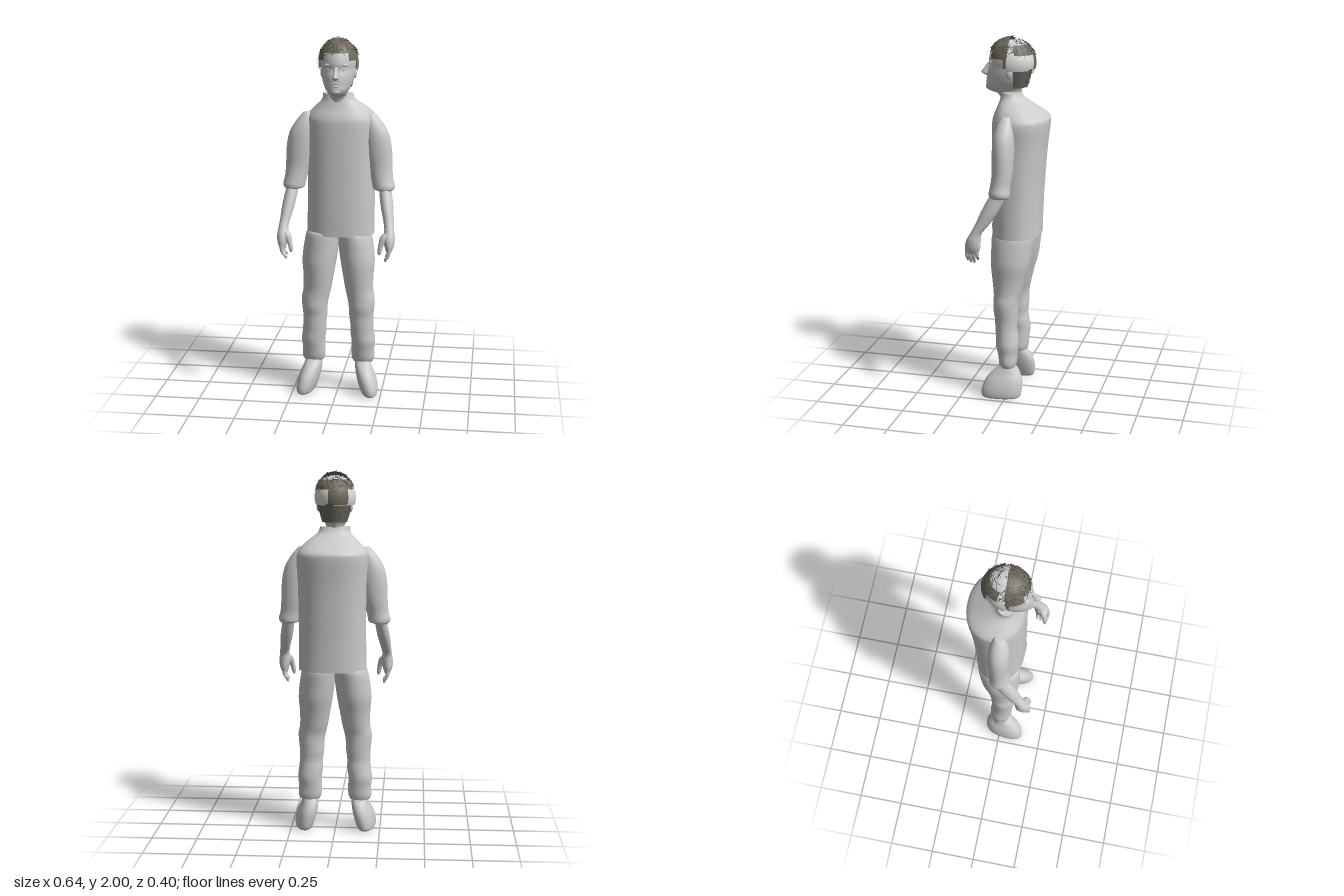
import * as THREE from 'three';
import { mergeGeometries } from 'three/addons/utils/BufferGeometryUtils.js';

const body = new THREE.MeshStandardMaterial({ color: 0xcccccc, name: 'plain grey' });
const pale = new THREE.MeshStandardMaterial({ color: 0xdcdcdc, name: 'pale cap', side: THREE.DoubleSide });
const hairBase = new THREE.MeshStandardMaterial({ color: 0x6f6a5e, name: 'brown hair', side: THREE.DoubleSide });
const hairDark = new THREE.MeshStandardMaterial({ color: 0x4c483d, name: 'dark strands' });

// Catmull-Rom interpolation of neighbouring rings
function blend(r, i, t) {
  const p = k => r[Math.min(r.length - 1, Math.max(0, k))];
  return r[i].map((_, k) => {
    const a = p(i - 1)[k], b = p(i)[k], c = p(i + 1)[k], d = p(i + 2)[k];
    return b + 0.5 * t * (c - a + t * (2 * a - 5 * b + 4 * c - d + t * (3 * (b - c) + d - a)));
  });
}

// Closed skin through ascending rings [y, xMin, xMax, zMin, zMax]; side -1 mirrors in x
function loft(rings, { n = 32, steps = 4, power = 2, side = 1, shift = 0 } = {}) {
  const all = [];
  for (let i = 0; i < rings.length - 1; i++)
    for (let k = 0; k < steps; k++) all.push(blend(rings, i, k / steps));
  all.push(rings[rings.length - 1]);
  const pos = [], idx = [];
  const e = 2 / power, f = v => Math.sign(v) * Math.abs(v) ** e;
  const addRing = ([y, x0, x1, z0, z1]) => {
    for (let j = 0; j < n; j++) {
      const a = (j / n) * Math.PI * 2;
      pos.push(side * (x0 + x1) / 2 + shift + (x1 - x0) / 2 * f(Math.cos(a)), y,
        (z0 + z1) / 2 + (z1 - z0) / 2 * f(Math.sin(a)));
    }
  };
  all.forEach(addRing);
  for (let i = 0; i < all.length - 1; i++)
    for (let j = 0; j < n; j++) {
      const a = i * n + j, b = i * n + (j + 1) % n;
      idx.push(a, a + n, b, b, a + n, b + n);
    }
  // separate end caps keep the rims crisp
  [[all[0], false], [all[all.length - 1], true]].forEach(([r, top]) => {
    const s = pos.length / 3;
    addRing(r);
    pos.push(side * (r[1] + r[2]) / 2 + shift, r[0], (r[3] + r[4]) / 2);
    for (let j = 0; j < n; j++) {
      const k = s + (j + 1) % n;
      idx.push(s + n, top ? k : s + j, top ? s + j : k);
    }
  });
  const g = new THREE.BufferGeometry();
  g.setAttribute('position', new THREE.Float32BufferAttribute(pos, 3));
  g.setIndex(idx);
  g.computeVertexNormals();
  return g;
}

export function createModel() {
  const model = new THREE.Group();
  const add = (name, geo, mat = body) => {
    const m = new THREE.Mesh(geo, mat);
    m.name = name;
    model.add(m);
    return m;
  };
  const ball = (name, x, y, z, rx, ry, rz) => {
    const m = add(name, new THREE.SphereGeometry(1, 20, 14));
    m.position.set(x, y, z);
    m.scale.set(rx, ry, rz);
  };

  // Long loose shirt with a short standing collar
  add('shirt', loft([
    [0.92, -0.172, 0.2, -0.158, 0.106], [1.05, -0.17, 0.2, -0.162, 0.108],
    [1.2, -0.168, 0.2, -0.17, 0.108], [1.4, -0.172, 0.203, -0.185, 0.108],
    [1.53, -0.178, 0.21, -0.2, 0.106], [1.575, -0.17, 0.198, -0.193, 0.1],
    [1.62, -0.13, 0.16, -0.13, 0.082], [1.665, -0.085, 0.1, -0.06, 0.068],
    [1.7, -0.08, 0.085, -0.04, 0.06],
  ], { n: 48, power: 2.25 }));

  for (const side of [1, -1]) {
    const tag = side > 0 ? 'left' : 'right';
    const arm = { side, shift: 0.007 }, leg = { side, shift: 0.003 };

    // Sleeve with a puffed cuff
    add(tag + 'Sleeve', loft([
      [1.17, 0.222, 0.29, -0.03, 0.062], [1.18, 0.19, 0.303, -0.04, 0.07],
      [1.2, 0.184, 0.307, -0.042, 0.072], [1.235, 0.176, 0.298, -0.042, 0.066],
      [1.3, 0.16, 0.292, -0.05, 0.06], [1.4, 0.14, 0.288, -0.055, 0.062],
      [1.48, 0.135, 0.272, -0.053, 0.06], [1.54, 0.135, 0.238, -0.045, 0.048],
      [1.58, 0.142, 0.205, -0.032, 0.03], [1.593, 0.155, 0.192, -0.022, 0.018],
    ], arm));

    // Bare forearm running into the palm
    add(tag + 'Forearm', loft([
      [0.865, 0.275, 0.305, 0.12, 0.19], [0.9, 0.264, 0.318, 0.11, 0.195],
      [0.94, 0.256, 0.321, 0.108, 0.187], [0.98, 0.262, 0.315, 0.102, 0.164],
      [1.03, 0.252, 0.31, 0.062, 0.138], [1.1, 0.234, 0.303, 0.015, 0.108],
      [1.19, 0.22, 0.286, -0.028, 0.062],
    ], arm));

    // Four curled fingers and a thumb
    [0.128, 0.148, 0.167, 0.184].forEach((z, i) => {
      const tip = [0.825, 0.808, 0.81, 0.82][i];
      add(tag + 'Finger' + (i + 1), loft([
        [tip, 0.268, 0.276, z - 0.004, z + 0.004], [tip + 0.01, 0.266, 0.282, z - 0.008, z + 0.008],
        [0.85, 0.279, 0.299, z - 0.01, z + 0.01], [0.89, 0.28, 0.305, z - 0.011, z + 0.011],
      ], { ...arm, n: 12 }));
    });
    add(tag + 'Thumb', loft([
      [0.85, 0.236, 0.244, 0.172, 0.182], [0.865, 0.23, 0.252, 0.167, 0.189],
      [0.905, 0.234, 0.264, 0.158, 0.187], [0.945, 0.242, 0.29, 0.145, 0.182],
      [0.965, 0.258, 0.294, 0.14, 0.17],
    ], { ...arm, n: 14 }));

    // Softly wrinkled trouser leg
    add(tag + 'TrouserLeg', loft([
      [0.175, 0.085, 0.195, -0.045, 0.035], [0.2, 0.075, 0.205, -0.052, 0.045],
      [0.25, 0.074, 0.203, -0.056, 0.054], [0.3, 0.075, 0.208, -0.062, 0.064],
      [0.35, 0.068, 0.202, -0.058, 0.066], [0.4, 0.068, 0.198, -0.052, 0.07],
      [0.45, 0.062, 0.198, -0.055, 0.072], [0.5, 0.06, 0.203, -0.057, 0.08],
      [0.55, 0.052, 0.205, -0.06, 0.08], [0.6, 0.04, 0.196, -0.072, 0.082],
      [0.68, 0.026, 0.196, -0.092, 0.092], [0.76, 0.012, 0.202, -0.115, 0.1],
      [0.84, 0.001, 0.195, -0.128, 0.1], [0.918, -0.005, 0.18, -0.138, 0.098],
      [0.94, -0.005, 0.16, -0.12, 0.085],
    ], leg));

    // Rounded shoe, toes turned slightly outward
    const shoe = loft([
      [0, 0.14, 0.218, -0.066, 0.125], [0.012, 0.13, 0.226, -0.08, 0.136],
      [0.05, 0.116, 0.226, -0.086, 0.136], [0.1, 0.104, 0.214, -0.084, 0.118],
      [0.145, 0.098, 0.195, -0.066, 0.082], [0.18, 0.098, 0.186, -0.042, 0.04],
      [0.21, 0.1, 0.185, -0.036, 0.028],
    ], { ...leg, power: 2.2 });
    const p = shoe.attributes.position;
    for (let i = 0; i < p.count; i++) p.setX(i, p.getX(i) + side * 0.12 * (p.getZ(i) - 0.03));
    shoe.computeVertexNormals();
    add(tag + 'Shoe', shoe);

    // Ear, eye and brow
    ball(tag + 'Ear', 0.005 + side * 0.086, 1.81, 0.006, 0.013, 0.03, 0.018);
    ball(tag + 'Eye', 0.005 + side * 0.034, 1.838, 0.109, 0.018, 0.008, 0.016);
    ball(tag + 'Brow', 0.005 + side * 0.034, 1.862, 0.109, 0.03, 0.009, 0.018);
  }

  // Neck and head
  add('head', loft([
    [1.62, -0.045, 0.055, -0.03, 0.065], [1.685, -0.045, 0.055, -0.035, 0.08],
    [1.705, -0.045, 0.055, -0.042, 0.135], [1.73, -0.06, 0.07, -0.055, 0.15],
    [1.76, -0.074, 0.084, -0.08, 0.147], [1.8, -0.083, 0.093, -0.095, 0.144],
    [1.838, -0.086, 0.096, -0.1, 0.132], [1.87, -0.089, 0.099, -0.1, 0.134],
    [1.92, -0.085, 0.095, -0.095, 0.12], [1.955, -0.066, 0.076, -0.075, 0.088],
    [1.972, -0.035, 0.045, -0.035, 0.05],
  ], { n: 40 }));
  add('nose', loft([
    [1.785, -0.006, 0.016, 0.13, 0.156], [1.792, -0.012, 0.022, 0.125, 0.17],
    [1.802, -0.012, 0.022, 0.125, 0.179], [1.825, -0.006, 0.016, 0.12, 0.162],
    [1.855, -0.004, 0.014, 0.115, 0.14],
  ], { n: 16 }));
  ball('upperLip', 0.005, 1.766, 0.135, 0.026, 0.006, 0.017);
  ball('lowerLip', 0.005, 1.753, 0.135, 0.022, 0.007, 0.018);
  ball('chin', 0.005, 1.724, 0.128, 0.028, 0.02, 0.026);

  // Open skull patches: centre, radii, start and length around, start and length down
  const patch = (name, mat, c, r, phi, phiLen, th, thLen) => {
    const m = add(name, new THREE.SphereGeometry(1, 32, 14, Math.PI * phi, Math.PI * phiLen, th, thLen), mat);
    m.position.set(...c);
    m.scale.set(...r);
  };
  const front = { c: [0.005, 1.875, 0.01], r: [0.106, 0.121, 0.125] };
  const back = { c: [0.005, 1.862, 0.012], r: [0.114, 0.126, 0.135] };

  // Pale half shell over the back of the skull
  patch('skullShell', pale, [0.003, 1.86, 0.015], [0.112, 0.118, 0.125], 1, 1, 0, 1.92);

  // Hair: front cap, temples, crown, back and nape
  patch('frontHair', hairBase, front.c, front.r, 0, 1, 0, 1.15);
  patch('leftTemple', hairBase, front.c, front.r, 0.72, 0.28, 1.15, 0.35);
  patch('rightTemple', hairBase, front.c, front.r, 0, 0.28, 1.15, 0.35);
  patch('crownHair', hairBase, back.c, back.r, 1.1, 0.8, 0.72, 0.5);
  patch('backHair', hairBase, back.c, back.r, 1.42, 0.32, 1.22, 0.65);
  const nape = add('napeHair', new THREE.CylinderGeometry(1, 0.72, 0.1, 28, 1, true, Math.PI * 0.56, Math.PI * 0.88), hairBase);
  nape.position.set(0.005, 1.778, 0);
  nape.scale.set(0.096, 1, 0.105);
  for (const side of [1, -1]) {
    const burn = add(side > 0 ? 'leftSideburn' : 'rightSideburn', new THREE.BoxGeometry(0.006, 0.06, 0.016), hairBase);
    burn.position.set(0.005 + side * 0.098, 1.866, 0.026);
  }

  // Fine loose strands lying across the hair
  let seed = 7;
  const rnd = () => (seed = (seed * 16807) % 2147483647) / 2147483647;
  const strands = [];
  const o = new THREE.Object3D();
  const strand = (pos, normal, len) => {
    o.position.copy(pos);
    o.lookAt(pos.clone().add(normal));
    o.rotateZ(rnd() * Math.PI);
    o.rotateX((rnd() - 0.5) * 0.4);
    o.updateMatrix();
    strands.push(new THREE.BoxGeometry(0.0016, len, 0.0016).applyMatrix4(o.matrix));
  };
  for (let i = 0; i < 150; i++) {
    const a = rnd() * Math.PI * 2, half = Math.sin(a) < 0 ? back : front;
    const t = Math.sqrt(rnd()) * 1.2;
    const d = new THREE.Vector3(Math.cos(a) * Math.sin(t), Math.cos(t), Math.sin(a) * Math.sin(t));
    const r = new THREE.Vector3(...half.r), c = new THREE.Vector3(...half.c);
    strand(d.clone().multiply(r).add(c), d.clone().divide(r).normalize(), 0.025 + rnd() * 0.025);
  }
  for (let i = 0; i < 40; i++) {
    const a = Math.PI * (1.1 + rnd() * 0.8), y = 1.74 + rnd() * 0.08;
    const k = 0.76 + (y - 1.74) * 3;
    strand(new THREE.Vector3(0.005 + Math.cos(a) * 0.096 * k, y, Math.sin(a) * 0.105 * k),
      new THREE.Vector3(Math.cos(a), 0, Math.sin(a)), 0.02 + rnd() * 0.015);
  }
  add('hairStrands', mergeGeometries(strands), hairDark);

  return model;
}
